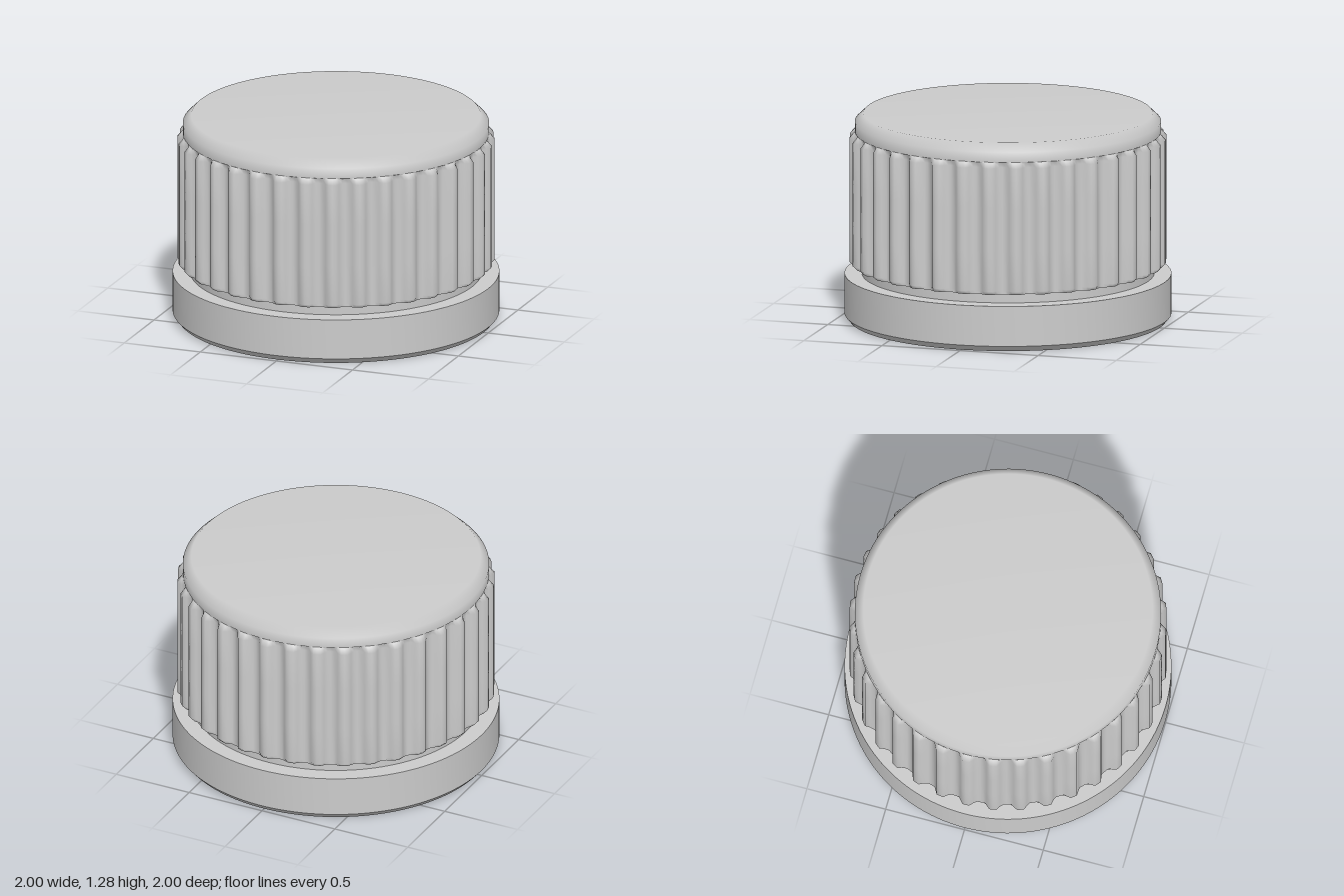
import * as THREE from 'three';
import { mergeVertices, toCreasedNormals } from 'three/addons/utils/BufferGeometryUtils.js';

const RIDGES = 36;
const STEPS = 8; // segments per ridge
const VALLEY = 0.926;
const RIDGE_HEIGHT = 0.045;

export function createModel() {
  const group = new THREE.Group();
  group.name = 'screwCap';
  const material = new THREE.MeshStandardMaterial({ color: 0xcccccc });

  const add = (name, geometry) => {
    const mesh = new THREE.Mesh(geometry, material);
    mesh.name = name;
    group.add(mesh);
  };
  const lathe = (points, segments = 144) =>
    new THREE.LatheGeometry(points.map(([r, y]) => new THREE.Vector2(r, y)), segments);

  // Ridge profile around the cap: flat crest, sloping flanks, narrow valley
  const ridge = (angle) => {
    const wave = 0.5 + 0.75 * Math.cos(angle * RIDGES);
    return THREE.MathUtils.clamp(wave, 0, 1);
  };

  // Lathe whose rows are pushed outwards by the ridges; rows are [radius, y, ridge strength]
  const fluted = (rows) => {
    const geometry = lathe(rows, RIDGES * STEPS);
    const pos = geometry.attributes.position;
    for (let i = 0; i < pos.count; i++) {
      const [r, , strength] = rows[i % rows.length];
      const angle = Math.atan2(pos.getX(i), pos.getZ(i));
      const scale = 1 + (RIDGE_HEIGHT * strength * ridge(angle)) / r;
      pos.setX(i, pos.getX(i) * scale);
      pos.setZ(i, pos.getZ(i) * scale);
    }
    geometry.deleteAttribute('normal');
    geometry.deleteAttribute('uv');
    const welded = mergeVertices(geometry, 1e-4);
    welded.computeVertexNormals();
    return welded;
  };

  // Tamper band with bevelled foot, and the recessed neck above it
  add('tamperBand', toCreasedNormals(lathe([
    [0.878, 0], [0.97, 0], [1, 0.035], [1, 0.285], [0.895, 0.285], [0.895, 0.345],
  ]), 0.5));

  // Fluted grip: its underside, then the wall with bevelled ridge ends
  add('gripUnderside', fluted([[0.895, 0.345, 0], [VALLEY, 0.345, 0.5]]));
  add('gripWall', fluted([
    [VALLEY, 0.345, 0.5],
    [VALLEY, 0.368, 1],
    [VALLEY, 0.62, 1],
    [VALLEY, 0.88, 1],
    [VALLEY, 1.138, 1],
    [VALLEY, 1.165, 0.45],
    [0.937, 1.172, 0],
  ]));

  // Crown: smooth shoulder running into the flat lid
  add('crown', lathe([
    [0.937, 1.172], [0.937, 1.235], [0.885, 1.285], [0, 1.285],
  ]));

  // Hollow inside: ceiling, inner step and bore
  add('interior', toCreasedNormals(lathe([
    [0, 1.16], [0.78, 1.16], [0.78, 0.93], [0.79, 0.89],
    [0.82, 0.865], [0.878, 0.86], [0.878, 0],
  ]), 0.8));

  return group;
}
